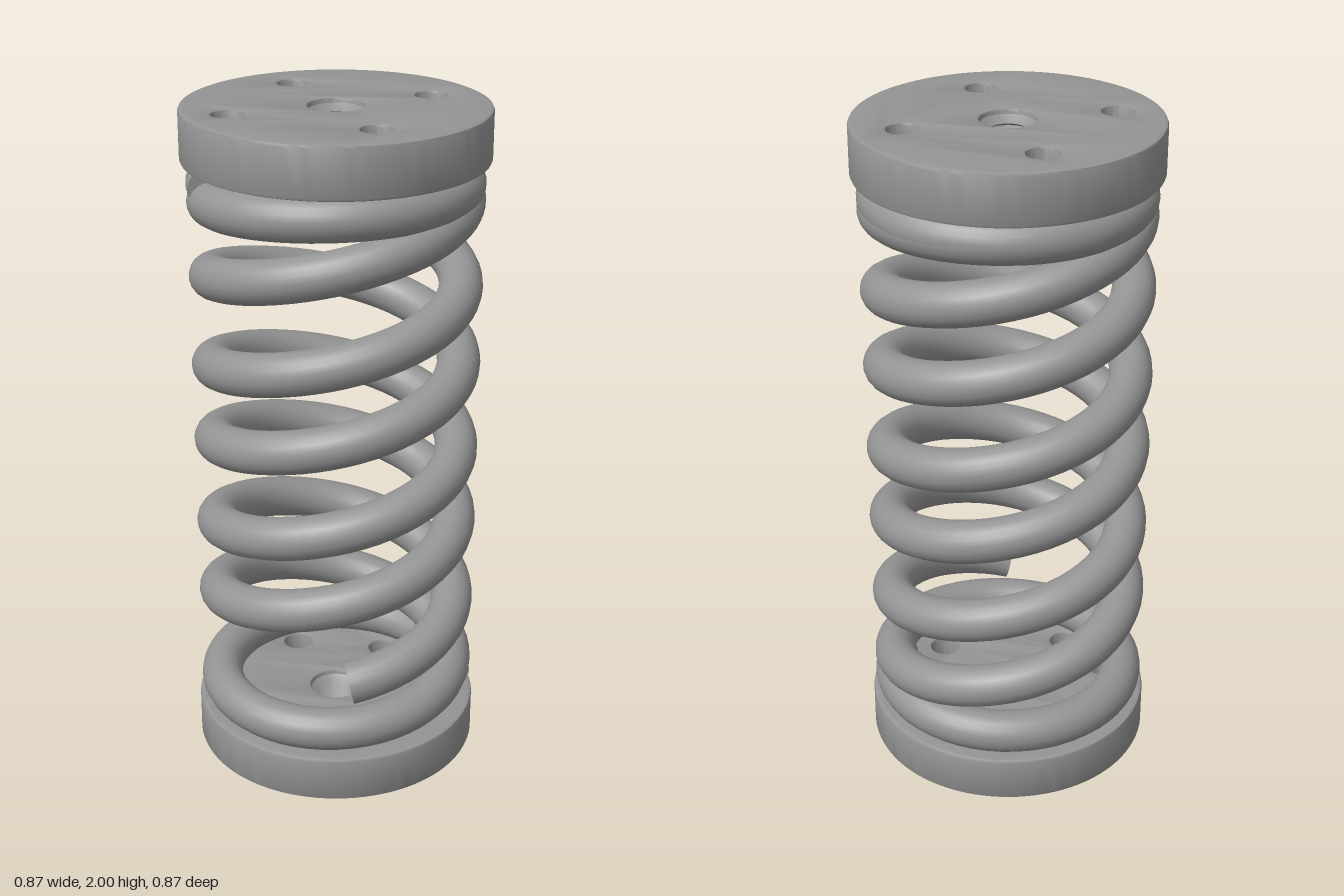
import * as THREE from 'three';
import { toCreasedNormals } from 'three/addons/utils/BufferGeometryUtils.js';

const TAU = Math.PI * 2;
const COIL_RADIUS = 0.357;
const WIRE_RADIUS = 0.063;
const BEVEL = 0.01;

// Smooth minimum, used to flatten the coil ends
function softMin(a, b, k = 0.13) {
  const h = Math.max(k - Math.abs(a - b), 0) / k;
  return Math.min(a, b) - h * h * k * 0.25;
}

// Rising helix that flattens against both end plates; turns are counted from the front
class CoilCurve extends THREE.Curve {
  constructor(base, from, to) {
    super();
    Object.assign(this, { base, from, to });
    this.arcLengthDivisions = 600;
  }
  getPoint(t, target = new THREE.Vector3()) {
    const turn = this.from + (this.to - this.from) * t;
    const slope = this.base + 0.505 * turn;
    const y = softMin(-softMin(-slope, -0.202), 1.787);
    return target.set(COIL_RADIUS * Math.sin(turn * TAU), y, COIL_RADIUS * Math.cos(turn * TAU));
  }
}

export function createModel() {
  const model = new THREE.Group();
  model.name = 'compressionSpring';
  const steel = new THREE.MeshStandardMaterial({ color: 0x949494 });
  steel.name = 'grey steel';

  const add = (name, geometry, parent = model) => {
    const mesh = new THREE.Mesh(geometry, steel);
    mesh.name = name;
    parent.add(mesh);
    return mesh;
  };

  // End plate: bevelled disc with bolt holes and a threaded centre bore
  function addPlate(name, y0, y1, radius, bolts) {
    const plate = new THREE.Group();
    plate.name = name;
    const shape = new THREE.Shape().absarc(0, 0, radius, 0, TAU, false);
    const bore = 0.078;
    for (const [x, z, r] of [[0, 0, bore], ...bolts.map(([x, z]) => [x, z, 0.045])]) {
      shape.holes.push(new THREE.Path().absarc(x, -z, r, 0, TAU, true));
    }
    const disc = new THREE.ExtrudeGeometry(shape, {
      depth: y1 - y0 - 2 * BEVEL, curveSegments: 48,
      bevelEnabled: true, bevelSize: BEVEL, bevelThickness: BEVEL, bevelOffset: -BEVEL, bevelSegments: 2,
    });
    disc.rotateX(-Math.PI / 2);
    disc.translate(0, y0 + BEVEL, 0);
    add(name + 'Disc', toCreasedNormals(disc, 0.6), plate);

    // Thread ridges lining the bore
    const top = y1 - 0.015, bottom = y0 + 0.015, ridges = 5;
    const profile = [new THREE.Vector2(bore, top)];
    for (let i = 0; i <= ridges * 2; i++) {
      const y = top - 0.008 - (top - bottom - 0.016) * (i / (ridges * 2));
      profile.push(new THREE.Vector2(i % 2 ? 0.051 : 0.068, y));
    }
    profile.push(new THREE.Vector2(bore, bottom));
    add(name + 'Thread', toCreasedNormals(new THREE.LatheGeometry(profile, 40), 0.5), plate);
    model.add(plate);
  }

  const bolts = [[-0.14, -0.255], [0.26, -0.135], [-0.285, 0.12], [0.125, 0.255]];
  const extraBolts = [[0.14, -0.23], [-0.145, 0.235], [0.235, 0.135]];
  addPlate('topPlate', 1.85, 2, 0.435, bolts);
  addPlate('bottomPlate', 0, 0.14, 0.428, [...bolts, ...extraBolts]);

  // One wire strand with capped ends
  function addStrand(name, base, from, to) {
    const strand = new THREE.Group();
    strand.name = name;
    const curve = new CoilCurve(base, from, to);
    add(name + 'Wire', new THREE.TubeGeometry(curve, Math.round((to - from) * 56), WIRE_RADIUS, 20), strand);
    for (const end of [0, 1]) {
      const cap = add(name + 'Cap', new THREE.CircleGeometry(WIRE_RADIUS, 20), strand);
      const out = curve.getTangent(end).multiplyScalar(end ? 1 : -1);
      cap.position.copy(curve.getPoint(end));
      cap.quaternion.setFromUnitVectors(new THREE.Vector3(0, 0, 1), out);
    }
    model.add(strand);
  }

  // Two interleaved strands: one closes on the bottom plate, the other ends freely at the front
  addStrand('closedStrand', 0.115, -0.75, 3.8);
  addStrand('freeStrand', 0.35, 0.027, 3.8);

  return model;
}
